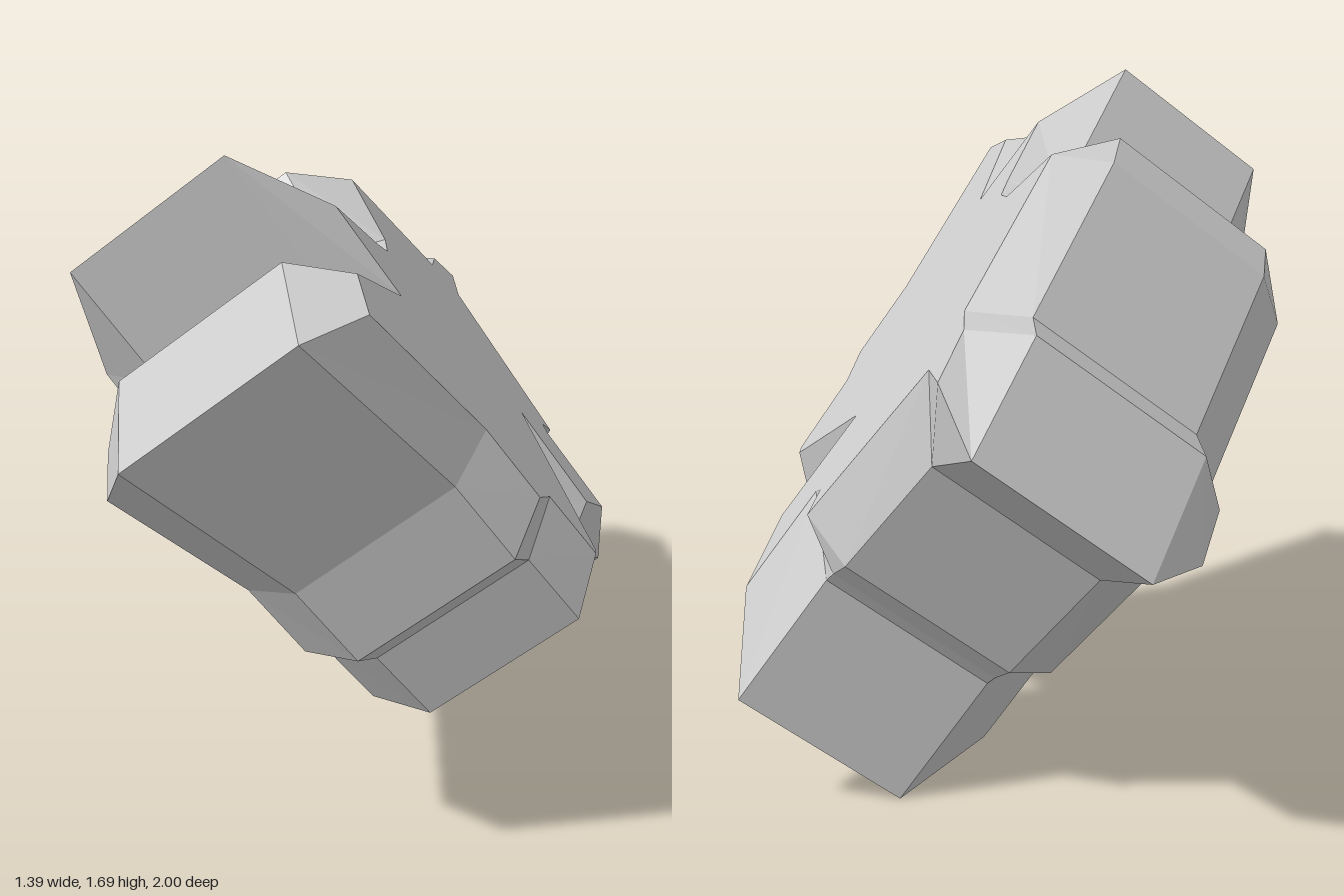
import * as THREE from 'three';

// Tilted slab axis, the plane heights of its upper face and upper rim, and wall depth
const AXIS = new THREE.Vector3(0.644, 0.598, -0.476).normalize();
const FACE = 0.922, RIM = 0.801, DEPTH = 0.46;

// Outline of the flat face, as z, y pairs (x follows from the tilted plane)
const faceOutline = [
  0.18, 1.56, 0.11, 1.35, 0.43, 1.49, 0.57, 1.455, 0.153, 1.086, 0.05, 0.904,
  -0.08, 0.85, -0.196, 0.674, -0.228, 0.668, -0.496, 0.877, -0.59, 0.62, -0.807, 0.513,
  -0.71, 0.743, -0.73, 0.759, -0.80, 0.717, -0.775, 1.085, -0.914, 1.096, -0.78, 1.182,
  -0.662, 1.198, -0.27, 1.513, -0.27, 1.513, -0.169, 1.396, -0.094, 1.39, -0.03, 1.422,
];

// Matching outline of the wider rim where the bevel meets the walls
const rimOutline = [
  0.40, 1.695, 0.28, 1.42, 0.507, 1.508, 0.785, 1.44, 0.28, 0.984, 0.165, 0.786,
  0.03, 0.722, -0.094, 0.535, -0.222, 0.508, -0.41, 0.658, -0.459, 0.508, -0.925, 0.283,
  -0.80, 0.567, -0.807, 0.588, -0.84, 0.626, -0.817, 0.883, -1.0, 0.968, -0.738, 1.177,
  -0.62, 1.19, -0.235, 1.497, -0.115, 1.545, -0.03, 1.376, -0.025, 1.38, -0.02, 1.385,
];

// Lift an outline onto a plane across the axis, then slide it down the axis
function ring(outline, height, drop) {
  const points = [];
  for (let i = 0; i < outline.length; i += 2) {
    const z = outline[i], y = outline[i + 1];
    const x = (height - AXIS.y * y - AXIS.z * z) / AXIS.x;
    points.push(new THREE.Vector3(x, y, z).addScaledVector(AXIS, -drop));
  }
  return points;
}

export function createModel() {
  const group = new THREE.Group();
  group.name = 'bevelledSlab';

  const bevel = FACE - RIM;
  const rings = [
    ring(faceOutline, FACE, 0),
    ring(rimOutline, RIM, 0),
    ring(rimOutline, RIM, DEPTH),
    ring(faceOutline, FACE, DEPTH + 2 * bevel),
  ];
  const count = rings[0].length;
  const positions = [];
  const triangle = (...corners) => corners.forEach((p) => positions.push(p.x, p.y, p.z));

  // Upper bevel, walls and lower bevel
  for (let k = 0; k < 3; k++) {
    for (let i = 0; i < count; i++) {
      const j = (i + 1) % count;
      const a = rings[k][i], b = rings[k][j], c = rings[k + 1][j], d = rings[k + 1][i];
      triangle(d, c, b);
      triangle(d, b, a);
    }
  }

  // Flat upper and lower faces
  const contour = rings[0].map((p) => new THREE.Vector2(-p.z, p.y));
  for (const [a, b, c] of THREE.ShapeUtils.triangulateShape(contour, [])) {
    triangle(rings[0][a], rings[0][b], rings[0][c]);
    triangle(rings[3][c], rings[3][b], rings[3][a]);
  }

  const geometry = new THREE.BufferGeometry();
  geometry.setAttribute('position', new THREE.Float32BufferAttribute(positions, 3));
  geometry.computeVertexNormals();
  const slab = new THREE.Mesh(
    geometry,
    new THREE.MeshStandardMaterial({ color: 0xcccccc, flatShading: true }),
  );
  slab.name = 'slab';
  group.add(slab);
  return group;
}
